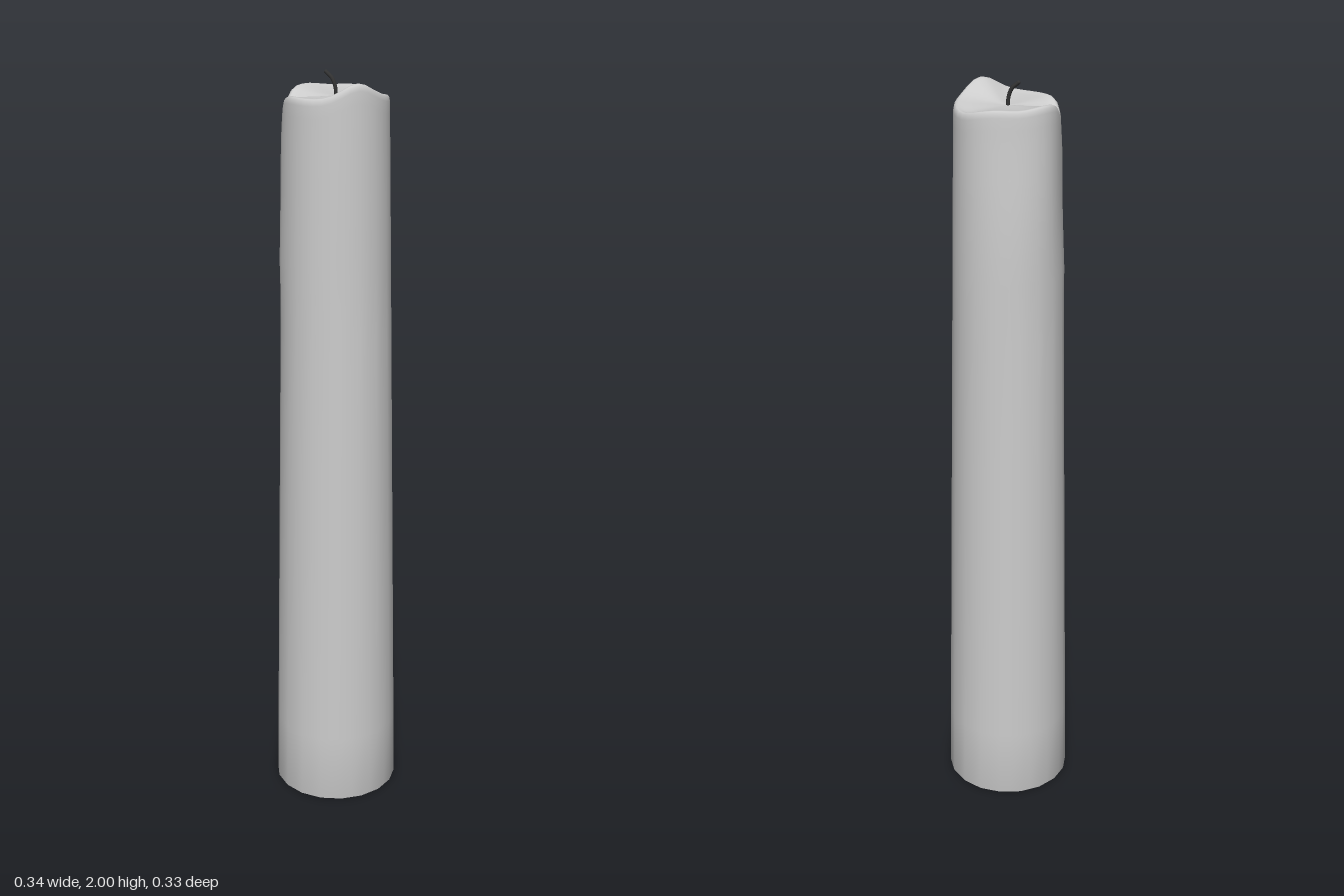
import * as THREE from 'three';

const SIDES = 36;
const lerp = THREE.MathUtils.lerp;
const smooth = THREE.MathUtils.smoothstep;

// Soft bump around an angle in degrees, wrapping at 360
function bump(deg, centre, width) {
  const d = ((deg - centre + 540) % 360) - 180;
  return Math.exp(-((d / width) ** 2));
}

// Height of the melted rim at an angle (0 = +x, 90 = +z)
function rimHeight(deg) {
  return 1.947 + 0.038 * bump(deg, 40, 26) - 0.03 * bump(deg, 158, 16)
    + 0.008 * bump(deg, 205, 25) - 0.012 * bump(deg, 315, 25) + 0.004 * bump(deg, 265, 22);
}

// Radius of the tapered side: 18 flat sides at the foot, rounder towards the top
function sideRadius(deg, y, odd) {
  let r = 0.169 - 0.0175 * y;
  if (odd) r *= lerp(Math.cos(Math.PI / 18), 1, smooth(y, 1.2, 1.8));
  r -= 0.015 * bump(deg, 245, 45) * smooth(y, 1.6, 1.95); // slumped back shoulder
  r -= 0.006 * bump(deg, 172, 22) * smooth(y, 1.5, 1.7); // hollow beside the drip
  r += 0.004 * bump(deg, 150, 12) * smooth(y, 1.4, 1.5) * (1 - smooth(y, 1.85, 1.95)); // drip
  return r;
}

function waxGeometry() {
  // Underside rings [scale], side rings [height], melted top rings [scale, drop below rim]
  const under = [0, 0.82];
  const side = [0, 0.19, 0.6, 1, 1.35, 1.45, 1.52, 1.6, 1.7, 1.78, 1.85, 1.9, 1.93];
  const top = [[0.985, 0.006], [0.95, 0.001], [0.91, 0], [0.85, 0.003], [0.75], [0.6], [0.42], [0.22], [0]];
  const rows = under.length + side.length + top.length;
  const positions = [], index = [];

  const add = (r, y, deg) => {
    const a = THREE.MathUtils.degToRad(deg);
    positions.push(r * Math.cos(a), y, r * Math.sin(a));
  };
  const each = (fn) => {
    for (let i = 0; i < SIDES; i++) fn(i * 360 / SIDES, i % 2 === 1);
  };

  under.forEach((s) => each((deg, odd) => add(s * sideRadius(deg, 0, odd), 0, deg)));
  side.forEach((y) => each((deg, odd) =>
    add(sideRadius(deg, y, odd), y + (rimHeight(deg) - 1.947) * smooth(y, 1.6, 1.93), deg)));
  top.forEach(([s, drop]) => each((deg) => {
    const h = rimHeight(deg);
    const y = drop !== undefined ? h - drop : lerp(1.938, h - 0.003, (s / 0.85) ** 2);
    add(s * sideRadius(deg, 1.94, false), y, deg);
  }));

  for (let j = 0; j < rows - 1; j++) {
    for (let i = 0; i < SIDES; i++) {
      const a = j * SIDES + i, b = j * SIDES + (i + 1) % SIDES;
      const c = a + SIDES, d = b + SIDES;
      if (j > 0) index.push(a, c, b);
      if (j < rows - 2) index.push(b, c, d);
      else index.push(a, c, b);
    }
  }
  // Close the underside fan
  const g = new THREE.BufferGeometry();
  g.setAttribute('position', new THREE.Float32BufferAttribute(positions, 3));
  g.setIndex(index);
  g.computeVertexNormals();
  return g;
}

export function createModel() {
  const group = new THREE.Group();
  group.name = 'candle';

  // Tapered wax body with melted top
  const wax = new THREE.Mesh(waxGeometry(), new THREE.MeshStandardMaterial({ color: 0xcccccc }));
  wax.name = 'waxBody';
  group.add(wax);

  // Bent wick with a rounded tip
  const wickMaterial = new THREE.MeshStandardMaterial({ color: 0x333333 });
  const path = new THREE.CatmullRomCurve3([
    new THREE.Vector3(0, 1.93, 0),
    new THREE.Vector3(-0.001, 1.957, 0),
    new THREE.Vector3(-0.01, 1.98, 0),
    new THREE.Vector3(-0.027, 1.995, 0),
  ]);
  const wick = new THREE.Mesh(new THREE.TubeGeometry(path, 12, 0.005, 8), wickMaterial);
  wick.name = 'wick';
  const tip = new THREE.Mesh(new THREE.SphereGeometry(0.005, 8, 6), wickMaterial);
  tip.name = 'wickTip';
  tip.position.set(-0.027, 1.995, 0);
  group.add(wick, tip);

  return group;
}
